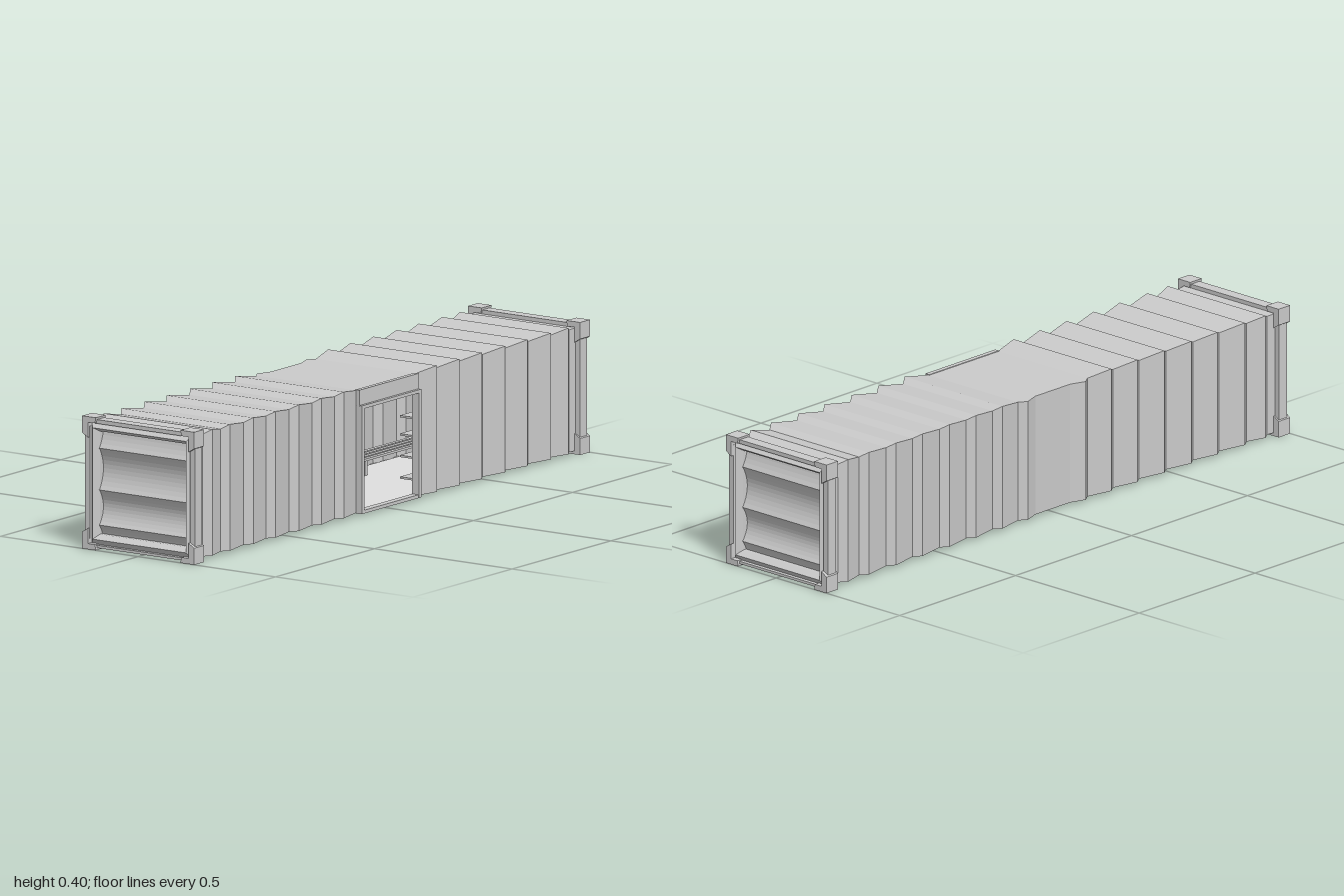
import * as THREE from 'three';

const mat = (name, color) => {
  const m = new THREE.MeshStandardMaterial({ color, side: THREE.DoubleSide });
  m.name = name;
  return m;
};

// Flat-shaded surface lofted through cross-sections with equal point counts
function loft(sections, closed = false) {
  const pos = [];
  for (let i = 0; i < sections.length - 1; i++) {
    const a = sections[i], b = sections[i + 1];
    const n = closed ? a.length : a.length - 1;
    for (let j = 0; j < n; j++) {
      const k = (j + 1) % a.length;
      pos.push(...a[j], ...a[k], ...b[k], ...a[j], ...b[k], ...b[j]);
    }
  }
  const g = new THREE.BufferGeometry();
  g.setAttribute('position', new THREE.Float32BufferAttribute(pos, 3));
  g.computeVertexNormals();
  return g;
}

export function createModel() {
  const grey = mat('painted steel grey', 0xcacaca);
  const pale = mat('pale floor grey', 0xdedede);
  const model = new THREE.Group();
  const add = (name, geo, material = grey, parent = model) => {
    const m = new THREE.Mesh(geo, material);
    m.name = name;
    parent.add(m);
    return m;
  };
  // Box given by its limits on each axis
  const box = (name, x0, x1, y0, y1, z0, z1, material, parent) =>
    add(name, new THREE.BoxGeometry(x1 - x0, y1 - y0, z1 - z0), material, parent)
      .position.set((x0 + x1) / 2, (y0 + y1) / 2, (z0 + z1) / 2);

  // Sawtooth profile along one half: [z, ridge height from 0 to 1]
  const half = [[0.15, 0]];
  for (const z of [0.26, 0.373, 0.488, 0.605, 0.718, 0.836, 0.925]) half.push([z - 0.025, 1], [z, 0]);
  half.push([0.96, 0.2]);
  const back = half.map(([z, h]) => [-z, h]).reverse();
  const wall = 0.181, rib = 0.017, roofY = 0.379, roofRib = 0.012, floorY = 0.01;
  const sideX = h => wall + rib * h;
  const topY = h => roofY + roofRib * h;

  // Corrugated roof, side walls and underside of each half
  for (const [name, prof] of [['front', half], ['back', back]]) {
    add(name + 'CorrugatedShell', loft(prof.map(([z, h]) => [
      [sideX(h), floorY, z], [sideX(h), topY(h), z], [-sideX(h), topY(h), z], [-sideX(h), floorY, z],
    ]), true));
  }

  // Middle section: plain roof and floor, lightly ribbed blind wall
  const mid = [[-0.15, 0], [-0.125, 1], [-0.075, 0], [0.075, 0], [0.125, 1], [0.15, 0]];
  add('middleShell', loft(mid.map(([z, h]) => [
    [wall, roofY, z], [-sideX(h), roofY, z], [-sideX(h), floorY, z], [wall, floorY, z],
  ])));

  // Side doorway: header, jambs, trim and sill
  const doorway = new THREE.Group();
  doorway.name = 'doorway';
  model.add(doorway);
  box('header', 0.178, 0.193, 0.333, 0.381, -0.15, 0.15, grey, doorway);
  box('trim', 0.185, 0.203, 0.325, 0.335, -0.15, 0.15, grey, doorway);
  box('sill', 0.178, 0.201, 0.008, 0.018, -0.15, 0.15, grey, doorway);
  for (const s of [-1, 1]) {
    const z = s * 0.144;
    box('jamb', 0.178, 0.203, 0.01, 0.333, z - 0.007, z + 0.007, grey, doorway);
  }

  // Interior floor, wall shelves and a slatted bench
  box('floorPanel', -0.178, 0.178, 0.011, 0.015, -0.95, 0.95, pale);
  for (const y of [0.05, 0.115, 0.18, 0.235]) box('shelf', 0.11, 0.18, y, y + 0.006, -0.6, -0.17);
  for (let i = 0; i < 4; i++) {
    const x = -0.17 + i * 0.022;
    box('benchSlat', x, x + 0.014, 0.06, 0.067, -0.72, -0.25);
  }
  for (const z of [-0.7, -0.29]) box('benchLeg', -0.165, -0.095, 0.015, 0.06, z, z + 0.012);

  // Small slatted vent under the floor
  for (let i = 0; i < 5; i++) {
    const z = -0.265 + i * 0.012;
    box('floorVentSlat', -0.125, -0.07, 0.006, 0.012, z, z + 0.005);
  }

  // End frame, built once and turned for the back
  const rect = (x, y0, y1, z) => [[-x, y0, z], [x, y0, z], [x, y1, z], [-x, y1, z]];
  const castingShape = new THREE.Shape([
    [0.154, 0.2], [0.204, 0.2], [0.204, 0.15], [0.183, 0.137], [0.183, 0.183], [0.157, 0.183],
  ].map(p => new THREE.Vector2(...p)));
  const castingGeo = new THREE.ExtrudeGeometry(castingShape, { depth: 0.05, bevelEnabled: false });

  // Scalloped end panel: sharp horizontal crests with hollows between
  const crests = [-0.034, 0.072, 0.178, 0.304, 0.43];
  const rows = [];
  for (let i = 0; i < crests.length - 1; i++) {
    for (let k = 0; k < 10; k++) {
      const y = crests[i] + (crests[i + 1] - crests[i]) * k / 10;
      if (y < 0.02 || y > 0.375) continue;
      const z = 0.957 + 0.02 * (k / 5 - 1) ** 2;
      rows.push([[-0.172, y, z], [0.172, y, z]]);
    }
  }

  for (const s of [1, -1]) {
    const end = new THREE.Group();
    end.name = s > 0 ? 'frontEnd' : 'backEnd';
    add('endPanel', loft(rows), grey, end);
    add('ridgedSurround', loft([
      rect(0.184, 0.012, 0.383, 0.955), rect(0.184, 0.012, 0.383, 0.978),
      rect(0.17, 0.031, 0.367, 0.994), rect(0.157, 0.044, 0.355, 0.975), rect(0.157, 0.044, 0.355, 0.955),
    ], true), grey, end);
    box('topBeam', -0.17, 0.17, 0.381, 0.393, 0.955, 0.992, grey, end);
    box('bottomBeam', -0.17, 0.17, 0.006, 0.014, 0.955, 0.992, grey, end);
    for (const sx of [1, -1]) {
      box('cornerPost', sx * 0.191 - 0.009, sx * 0.191 + 0.009, 0.03, 0.37, 0.955, 0.99, grey, end);
      for (const sy of [1, -1]) {
        // Half-turns and mirrors of one L-shaped corner block
        const c = add('cornerCasting', castingGeo, grey, end);
        c.scale.set(sx, sy, 1);
        c.position.set(0, 0.2, 0.95);
      }
    }
    if (s < 0) end.rotation.y = Math.PI;
    model.add(end);
  }
  return model;
}
